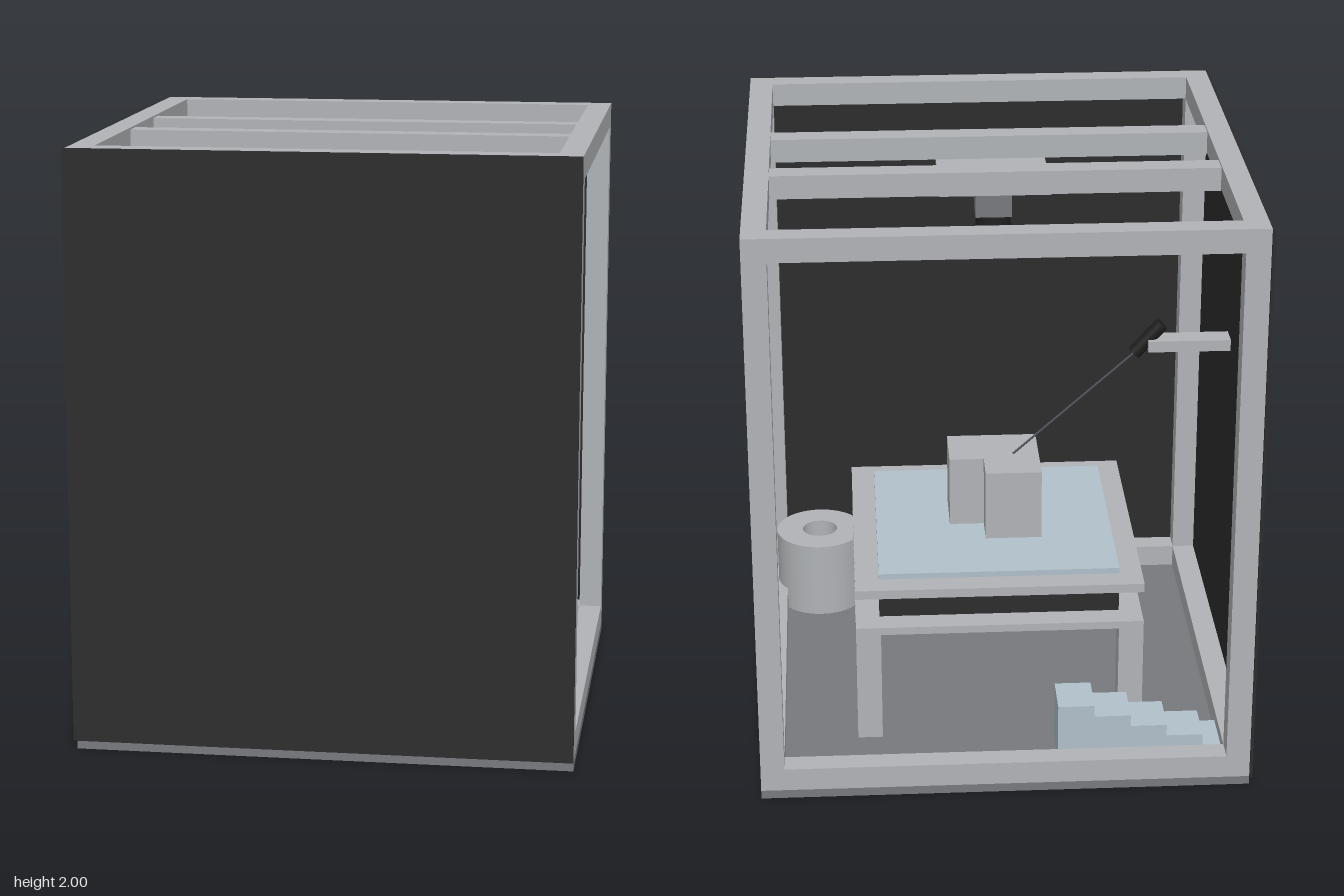
import * as THREE from 'three';

const mat = (name, color) => {
  const m = new THREE.MeshStandardMaterial({ color });
  m.name = name;
  return m;
};

export function createModel() {
  const root = new THREE.Group();
  root.name = 'inspectionCell';

  const lightGrey = mat('lightGrey', 0xb0b3b6);
  const midGrey = mat('midGrey', 0x77797d);
  const charcoal = mat('charcoal', 0x2c2c2c);
  const black = mat('black', 0x1e1e1e);
  const paleBlue = mat('paleBlue', 0xb0c0ca);
  const beamGrey = mat('beamGrey', 0x50525c);

  const add = (name, geometry, material, parent = root) => {
    const mesh = new THREE.Mesh(geometry, material);
    mesh.name = name;
    parent.add(mesh);
    return mesh;
  };
  // box given by its min and max on each axis
  const box = (name, material, x0, x1, y0, y1, z0, z1, parent) => {
    const mesh = add(name, new THREE.BoxGeometry(x1 - x0, y1 - y0, z1 - z0), material, parent);
    mesh.position.set((x0 + x1) / 2, (y0 + y1) / 2, (z0 + z1) / 2);
    return mesh;
  };
  const group = (name) => {
    const g = new THREE.Group();
    g.name = name;
    root.add(g);
    return g;
  };

  // outer frame: base, posts and two rings of beams
  const X0 = -0.82, X1 = 0.826, Z = 0.825, T = 0.08;
  box('basePlate', midGrey, X0, X1, 0, 0.03, -Z, Z);
  const frame = group('frame');
  for (const x of [X0, X1 - T]) {
    for (const z of [-Z, Z - T]) box('post', lightGrey, x, x + T, 0.11, 1.92, z, z + T, frame);
  }
  for (const y of [0.03, 1.92]) {
    for (const x of [X0, X1 - T]) box('sideBeam', lightGrey, x, x + T, y, y + T, -Z, Z, frame);
    for (const z of [-Z, Z - T]) box('crossBeam', lightGrey, X0 + T, X1 - T, y, y + T, z, z + T, frame);
  }
  for (const z of [-0.226, 0.143]) {
    box('roofRail', lightGrey, X0 + T, X1 - T, 1.913, 1.993, z, z + T, frame);
  }

  // closed walls on the front and one side
  box('frontPanel', charcoal, -0.83, X1, 0.03, 2, Z, 0.835);
  box('sidePanel', charcoal, -0.83, X0, 0.03, 2, -0.835, Z);

  // camera hanging from the roof rails
  const camera = group('overheadCamera');
  box('mountPlate', lightGrey, -0.185, 0.187, 1.896, 1.913, -0.185, 0.185, camera);
  box('cameraBody', midGrey, -0.06, 0.062, 1.775, 1.896, -0.062, 0.062, camera);
  const lens = add('lens', new THREE.CylinderGeometry(0.058, 0.064, 0.122, 32), black, camera);
  lens.position.set(0, 1.714, 0);

  // lift table
  const table = group('liftTable');
  for (const x of [-0.488, 0.411]) {
    for (const z of [-0.495, 0.41]) box('leg', lightGrey, x, x + 0.085, 0.03, 0.43, z, z + 0.085, table);
  }
  box('lowerPlate', lightGrey, -0.488, 0.496, 0.43, 0.457, -0.495, 0.495, table);
  box('liftBlock', charcoal, -0.41, 0.414, 0.457, 0.558, -0.41, 0.41, table);
  box('spacer', paleBlue, -0.41, 0.414, 0.558, 0.568, -0.41, 0.41, table);
  box('tabletop', lightGrey, -0.488, 0.496, 0.568, 0.6, -0.495, 0.495, table);
  box('glassSheet', paleBlue, -0.41, 0.414, 0.6, 0.62, -0.412, 0.412, table);

  // L-shaped workpiece, drawn as (x, -z) and turned upright
  const outline = [[-0.16, -0.16], [0.155, -0.16], [0.155, 0.04], [0.035, 0.04], [0.035, 0.16], [-0.16, 0.16]];
  const shape = new THREE.Shape(outline.map(([x, y]) => new THREE.Vector2(x, y)));
  const workpiece = add('workpiece', new THREE.ExtrudeGeometry(shape, { depth: 0.25, bevelEnabled: false }), lightGrey);
  workpiece.rotation.x = -Math.PI / 2;
  workpiece.position.y = 0.62;

  // pointer on a wall bracket, with its thin beam
  const pointer = group('pointer');
  box('bracket', lightGrey, X0, -0.535, 1.26, 1.3, -0.04, 0.04, pointer);
  const rod = (name, from, to, r, material, sides) => {
    const a = new THREE.Vector3(...from), b = new THREE.Vector3(...to);
    const mesh = add(name, new THREE.CylinderGeometry(r, r, a.distanceTo(b), sides), material, pointer);
    mesh.position.copy(a).add(b).multiplyScalar(0.5);
    mesh.quaternion.setFromUnitVectors(new THREE.Vector3(0, 1, 0), b.sub(a).normalize());
  };
  rod('pointerBody', [-0.584, 1.35, 0], [-0.49, 1.245, 0], 0.025, black, 24);
  rod('beam', [-0.49, 1.245, 0], [-0.07, 0.87, 0], 0.004, beamGrey, 8);

  // hollow ring standing in the front corner
  const ringShape = new THREE.Shape().absarc(0, 0, 0.16, 0, Math.PI * 2);
  ringShape.holes.push(new THREE.Path().absarc(0, 0, 0.064, 0, Math.PI * 2, true));
  const ring = add('hollowCylinder',
    new THREE.ExtrudeGeometry(ringShape, { depth: 0.28, bevelEnabled: false, curveSegments: 32 }), lightGrey);
  ring.rotation.x = -Math.PI / 2;
  ring.position.set(0.62, 0.03, 0.577);

  // staircase block in the back corner, rising towards the middle
  const stairs = group('stairBlock');
  for (let i = 0; i < 5; i++) {
    const x = -0.802 + i * 0.124;
    box('step', paleBlue, x, x + 0.124, 0.03, 0.03 + 0.041 * (i + 1), -0.68, -0.518, stairs);
  }

  return root;
}
